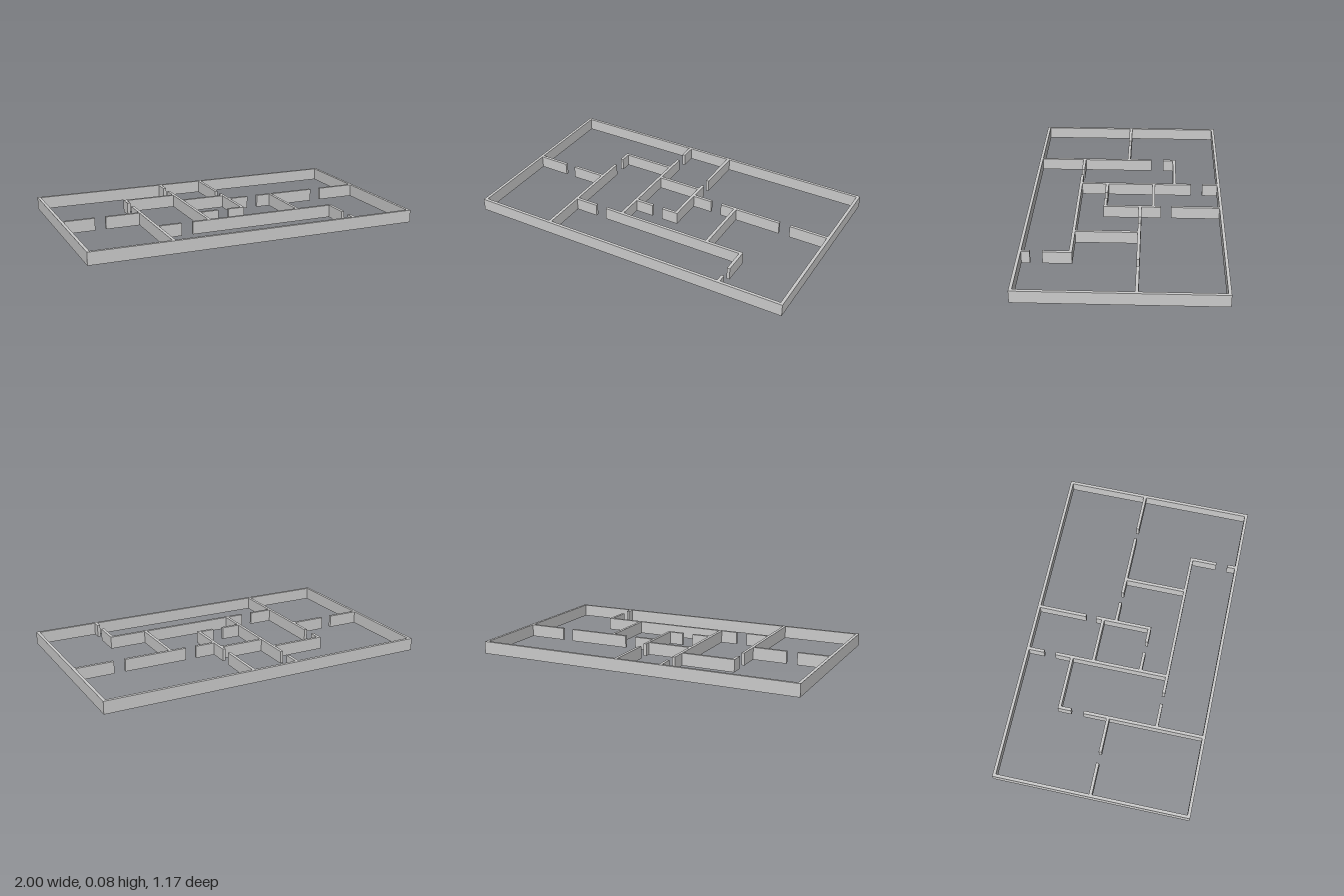
import * as THREE from 'three';

const HEIGHT = 0.075, T = 0.018, H = T / 2;
const X = 1, Z = 0.587;            // outer half-sizes
const IX = X - T, IZ = Z - T;      // inner faces of the outer wall

const material = new THREE.MeshStandardMaterial({ color: 0xcccccc });

// Closed ring around the whole plan
function outerWall() {
  const rect = (path, x, z) =>
    path.moveTo(-x, -z).lineTo(x, -z).lineTo(x, z).lineTo(-x, z).closePath();
  const shape = new THREE.Shape();
  rect(shape, X, Z);
  const hole = new THREE.Path();
  rect(hole, IX, IZ);
  shape.holes.push(hole);
  const geometry = new THREE.ExtrudeGeometry(shape, { depth: HEIGHT, bevelEnabled: false });
  geometry.rotateX(-Math.PI / 2);
  const mesh = new THREE.Mesh(geometry, material);
  mesh.name = 'outerWall';
  return mesh;
}

// Straight wall along x or z: centreline position and the span it covers
function wall(axis, at, from, to) {
  const length = to - from, mid = (from + to) / 2;
  const alongX = axis === 'x';
  const mesh = new THREE.Mesh(
    new THREE.BoxGeometry(alongX ? length : T, HEIGHT, alongX ? T : length), material);
  mesh.position.set(alongX ? mid : at, HEIGHT / 2, alongX ? at : mid);
  return mesh;
}

export function createModel() {
  const model = new THREE.Group();
  model.name = 'floorPlan';
  model.add(outerWall());

  // Centrelines shared by several walls
  const west = -0.511, hall = -0.185, core = 0.098, east = 0.39, porch = 0.613;
  const nook = -0.301, closet = -0.169, bedroom = -0.089, middle = -0.003, bath = 0.124, south = 0.291;

  // Each entry: name, axis, centreline, then spans separated by doorways
  const walls = [
    ['westWall', 'z', west, [nook - H, -0.228], [-0.153, IZ]],
    ['hallWall', 'z', hall, [-IZ, -0.475], [-0.405, south - H]],
    ['coreWall', 'z', core, [-IZ, -0.277], [-0.215, bath + H]],
    ['eastWall', 'z', east, [bedroom + H, south - H]],
    ['porchWall', 'z', porch, [south - H, 0.45], [0.52, IZ]],
    ['nookWall', 'x', nook, [west + H, hall - H]],
    ['closetWall', 'x', closet, [hall + H, core - H]],
    ['bedroomWall', 'x', bedroom, [core + H, 0.227], [0.294, 0.681], [0.75, IX]],
    ['middleWall', 'x', middle, [-IX, -0.793], [-0.727, west - H]],
    ['bathWall', 'x', bath, [hall + H, -0.064], [0.003, core - H]],
    ['southWall', 'x', south, [west + H, -0.363], [-0.294, porch - H]],
  ];
  for (const [name, axis, at, ...spans] of walls) {
    const group = new THREE.Group();
    group.name = name;
    for (const [from, to] of spans) group.add(wall(axis, at, from, to));
    model.add(group);
  }
  return model;
}
